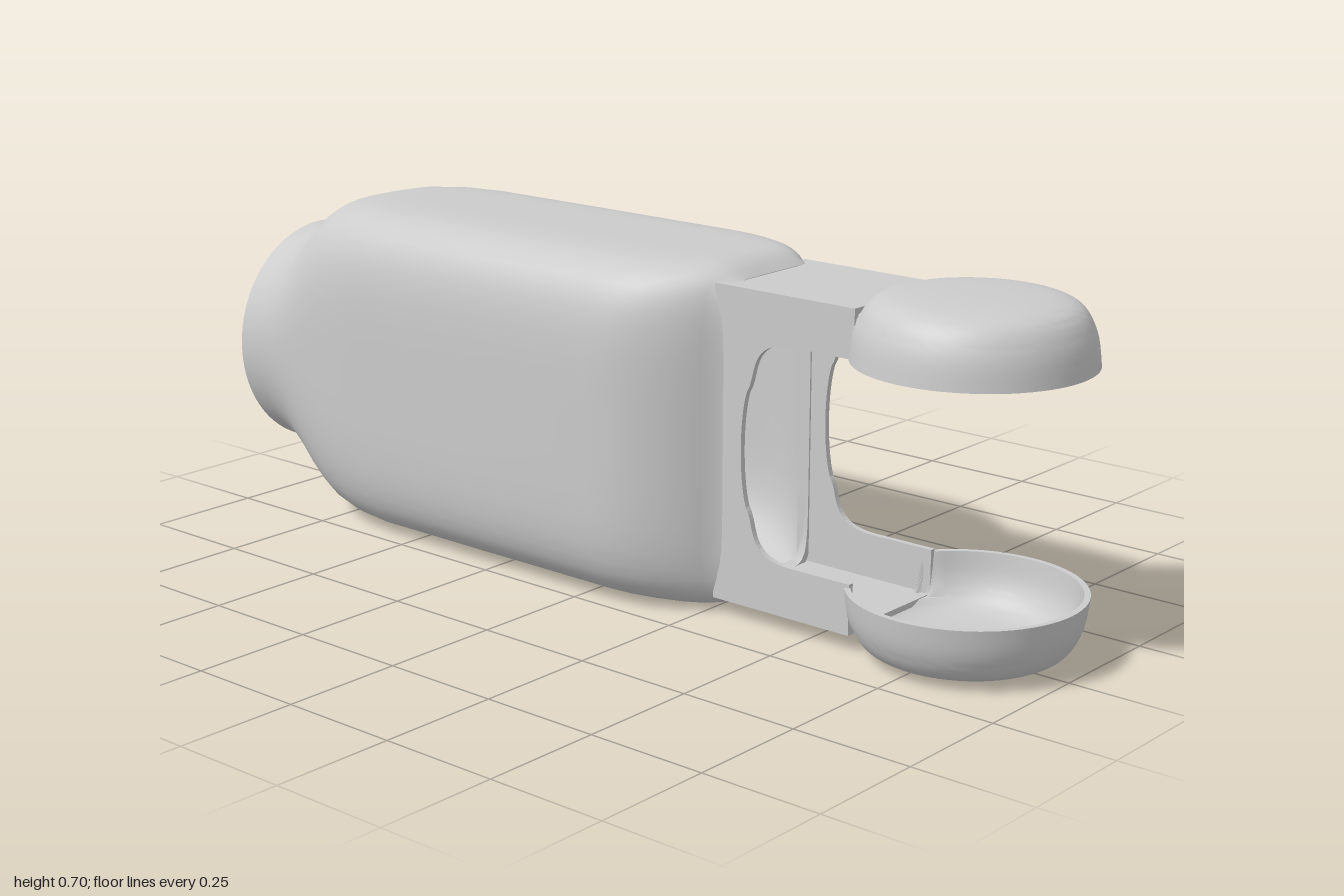
import * as THREE from 'three';
import { toCreasedNormals } from 'three/addons/utils/BufferGeometryUtils.js';

const WALL = 0.012;   // shell thickness
const MID = 0.35;     // height of the long axis

const material = new THREE.MeshStandardMaterial({ color: 0xcccccc, side: THREE.DoubleSide });

function addMesh(parent, name, geometry) {
  const mesh = new THREE.Mesh(geometry, material);
  mesh.name = name;
  parent.add(mesh);
  return mesh;
}

// Skin a run of superellipse rings given as [z, halfWidth, halfHeight, exponent]
function loft(rings, segments = 96) {
  const positions = [], index = [];
  rings.forEach(([z, hx, hy, n], i) => {
    for (let j = 0; j < segments; j++) {
      const a = (j / segments) * Math.PI * 2, c = Math.cos(a), s = Math.sin(a);
      const r = Math.pow(Math.abs(c) ** n + Math.abs(s) ** n, -1 / n);
      positions.push(hx * r * c, hy * r * s, z);
      if (i === rings.length - 1) continue;
      const k = (j + 1) % segments, p = i * segments, q = p + segments;
      index.push(p + j, p + k, q + j, p + k, q + k, q + j);
    }
  });
  const g = new THREE.BufferGeometry();
  g.setAttribute('position', new THREE.Float32BufferAttribute(positions, 3));
  g.setIndex(index);
  return toCreasedNormals(g, 0.7);
}

// Hollow body: round at the open back, boxy in the middle, pinched at the front
function bodyGeometry() {
  const outer = [
    [-1, 0.247, 0.25, 2], [-0.95, 0.247, 0.252, 2.05], [-0.9, 0.248, 0.268, 2.2],
    [-0.86, 0.25, 0.295, 2.45], [-0.82, 0.253, 0.325, 2.8], [-0.79, 0.256, 0.338, 3.1],
    [-0.75, 0.26, 0.346, 3.6], [-0.68, 0.267, 0.35, 4.3], [-0.6, 0.27, 0.35, 4.9],
    [-0.3, 0.27, 0.35, 5], [0.05, 0.27, 0.35, 5], [0.1, 0.265, 0.35, 5],
    [0.15, 0.25, 0.35, 5], [0.2, 0.222, 0.35, 5], [0.235, 0.195, 0.349, 5],
    [0.26, 0.17, 0.344, 5.5], [0.28, 0.146, 0.334, 6.5], [0.3, 0.136, 0.318, 9],
  ];
  const inner = outer.map(([z, hx, hy, n]) => [z, hx - WALL, hy - WALL, n]).reverse();
  return loft([...outer, ...inner]);
}

// Side wall of the fork, with a rounded U cut out of its front
function forkSideGeometry() {
  const s = new THREE.Shape();
  s.moveTo(0.27, 0.035);
  s.lineTo(0.6, 0.035);
  s.lineTo(0.6, 0.135);
  s.lineTo(0.46, 0.135);
  s.bezierCurveTo(0.35, 0.135, 0.375, 0.2, 0.35, 0.235);
  s.bezierCurveTo(0.332, 0.29, 0.332, 0.41, 0.35, 0.465);
  s.bezierCurveTo(0.375, 0.5, 0.35, 0.57, 0.46, 0.57);
  s.lineTo(0.6, 0.57);
  s.lineTo(0.6, 0.667);
  s.lineTo(0.27, 0.667);
  s.closePath();
  return new THREE.ExtrudeGeometry(s, { depth: WALL, bevelEnabled: false, curveSegments: 16 })
    .rotateY(-Math.PI / 2)
    .translate(WALL / 2, 0, 0);
}

// Flattened hollow dome, notched where the arm channel runs into it
function domeGeometry() {
  const profile = (t) => new THREE.SplineCurve([
    [0.23, 0], [0.223, 0.05], [0.208, 0.088], [0.187, 0.111],
    [0.15, 0.123], [0.08, 0.129], [0, 0.13],
  ].map(([r, y]) => new THREE.Vector2(r * (1 - t / 0.23), y * (1 - t / 0.13)))).getPoints(24);
  const g = new THREE.LatheGeometry([...profile(WALL).reverse(), ...profile(0)], 72);
  const p = g.attributes.position;
  for (let i = 0; i < p.count; i++) {
    p.setX(i, Math.abs(p.getX(i)) < 1e-5 ? 0 : p.getX(i));
    if (p.getZ(i) < 0 && Math.abs(p.getX(i)) < 0.128) p.setY(i, Math.max(p.getY(i), 0.087));
  }
  return toCreasedNormals(g, 0.7);
}

// One jaw: arm plate, end dome and the two fixing pegs, built above the axis
function makeJaw(name) {
  const jaw = new THREE.Group();
  jaw.name = name;

  addMesh(jaw, 'armPlate', new THREE.BoxGeometry(0.28, WALL, 0.33))
    .position.set(0, 0.311, 0.435);

  addMesh(jaw, 'endDome', domeGeometry()).position.set(0, 0.22, 0.77);

  for (const side of [-1, 1]) {
    addMesh(jaw, 'fixingPeg', new THREE.CylinderGeometry(0.018, 0.018, 0.08, 16))
      .position.set(side * 0.1, 0.275, -0.79);
  }
  return jaw;
}

export function createModel() {
  const model = new THREE.Group();
  model.name = 'forkedHousing';

  addMesh(model, 'body', bodyGeometry()).position.y = MID;

  for (const side of [-1, 1]) {
    addMesh(model, side > 0 ? 'leftForkSide' : 'rightForkSide', forkSideGeometry())
      .position.x = side * 0.134;
  }

  // The lower jaw is the upper one turned half round the long axis
  const upper = makeJaw('upperJaw');
  const lower = makeJaw('lowerJaw');
  upper.position.y = lower.position.y = MID;
  lower.rotation.z = Math.PI;
  model.add(upper, lower);

  return model;
}
